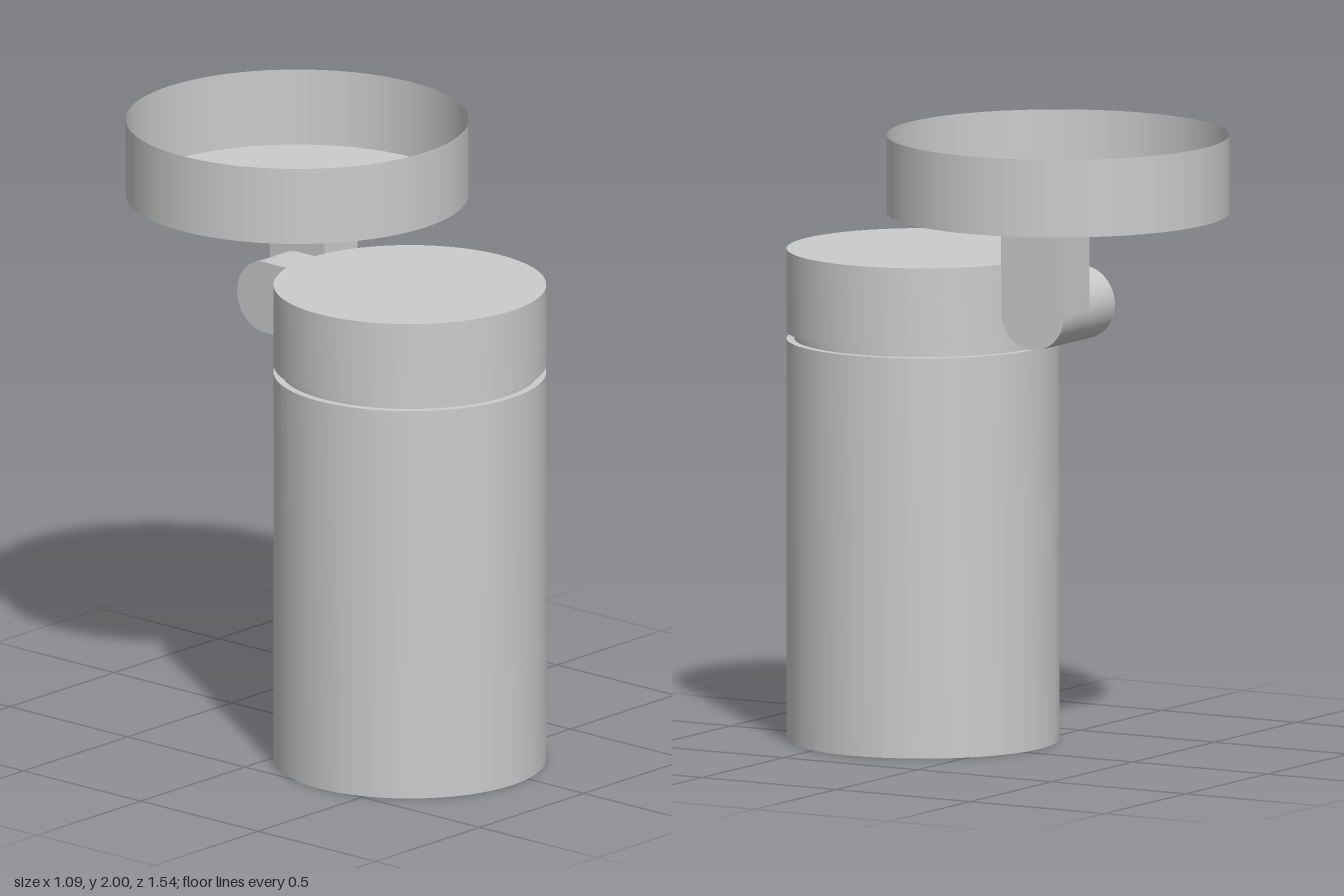
import * as THREE from 'three';
import { mergeGeometries, toCreasedNormals } from 'three/addons/utils/BufferGeometryUtils.js';

const material = new THREE.MeshStandardMaterial({ color: 0xcccccc, side: THREE.DoubleSide });

function addMesh(parent, name, geometry, x = 0, y = 0, z = 0) {
  const mesh = new THREE.Mesh(geometry, material);
  mesh.name = name;
  mesh.position.set(x, y, z);
  parent.add(mesh);
  return mesh;
}

// Hollow bar with a half-round end, pivot at the centre of the round; the straight end stays open.
// It runs up along y and its width goes from x = 0 to x = width.
function roundedLink(radius, length, width) {
  const outline = [new THREE.Vector2(-radius, length)];
  const steps = 24;
  for (let i = 0; i <= steps; i++) {
    const a = Math.PI + (i / steps) * Math.PI;
    outline.push(new THREE.Vector2(Math.cos(a) * radius, Math.sin(a) * radius));
  }
  outline.push(new THREE.Vector2(radius, length));

  const positions = [];
  const index = [];
  outline.forEach((p, i) => {
    positions.push(p.x, p.y, 0, p.x, p.y, width);
    if (i < outline.length - 1) {
      const a = 2 * i;
      index.push(a, a + 2, a + 1, a + 1, a + 2, a + 3);
    }
  });
  const band = new THREE.BufferGeometry();
  band.setAttribute('position', new THREE.Float32BufferAttribute(positions, 3));
  band.setIndex(index);
  band.computeVertexNormals();

  const shape = new THREE.Shape(outline);
  const near = new THREE.ShapeGeometry(shape).translate(0, 0, width);
  const far = new THREE.ShapeGeometry(shape).rotateY(Math.PI);
  near.deleteAttribute('uv');
  far.deleteAttribute('uv');
  return mergeGeometries([band, near, far]).rotateY(Math.PI / 2);
}

export function createModel() {
  const model = new THREE.Group();
  model.name = 'ceilingSpotlight';

  // Lamp housing: recessed opening below, thin groove under the cap
  const profile = [
    [0, 0.1], [0.35, 0.1], [0.35, 0], [0.435, 0], [0.435, 1.29], [0.41, 1.29],
    [0.41, 1.315], [0.435, 1.315], [0.435, 1.58], [0, 1.58],
  ].map(([r, y]) => new THREE.Vector2(r, y));
  const housing = toCreasedNormals(new THREE.LatheGeometry(profile, 64), Math.PI / 6);
  addMesh(model, 'lampHousing', housing, -0.085, 0, 0.335);

  // Ceiling canopy: shallow dish open at the top
  const canopy = new THREE.Group();
  canopy.name = 'canopy';
  canopy.position.set(0, 1.75, -0.22);
  model.add(canopy);
  const canopyRadius = 0.547;
  const wall = new THREE.CylinderGeometry(canopyRadius, canopyRadius, 0.25, 64, 1, true);
  addMesh(canopy, 'canopyWall', wall, 0, 0.125, 0);

  // Canopy floor, pierced where the hollow stem meets it
  const r = 0.117;
  const w = 0.157;
  const disc = new THREE.Shape().absarc(0, 0, canopyRadius, 0, Math.PI * 2);
  disc.holes.push(new THREE.Path([
    new THREE.Vector2(0, -r), new THREE.Vector2(0, r),
    new THREE.Vector2(w, r), new THREE.Vector2(w, -r),
  ]));
  const floor = new THREE.ShapeGeometry(disc, 32).rotateX(Math.PI / 2);
  addMesh(canopy, 'canopyFloor', floor);

  // Swivel joint: vertical stem from the canopy, horizontal arm from the housing
  const pivotY = 1.442;
  addMesh(model, 'stem', roundedLink(r, 1.75 - pivotY, w), 0, pivotY, -0.22);
  const arm = roundedLink(r, 0.16, w).rotateX(Math.PI / 2);
  addMesh(model, 'swivelArm', arm, -w, pivotY, -0.22);

  return model;
}
